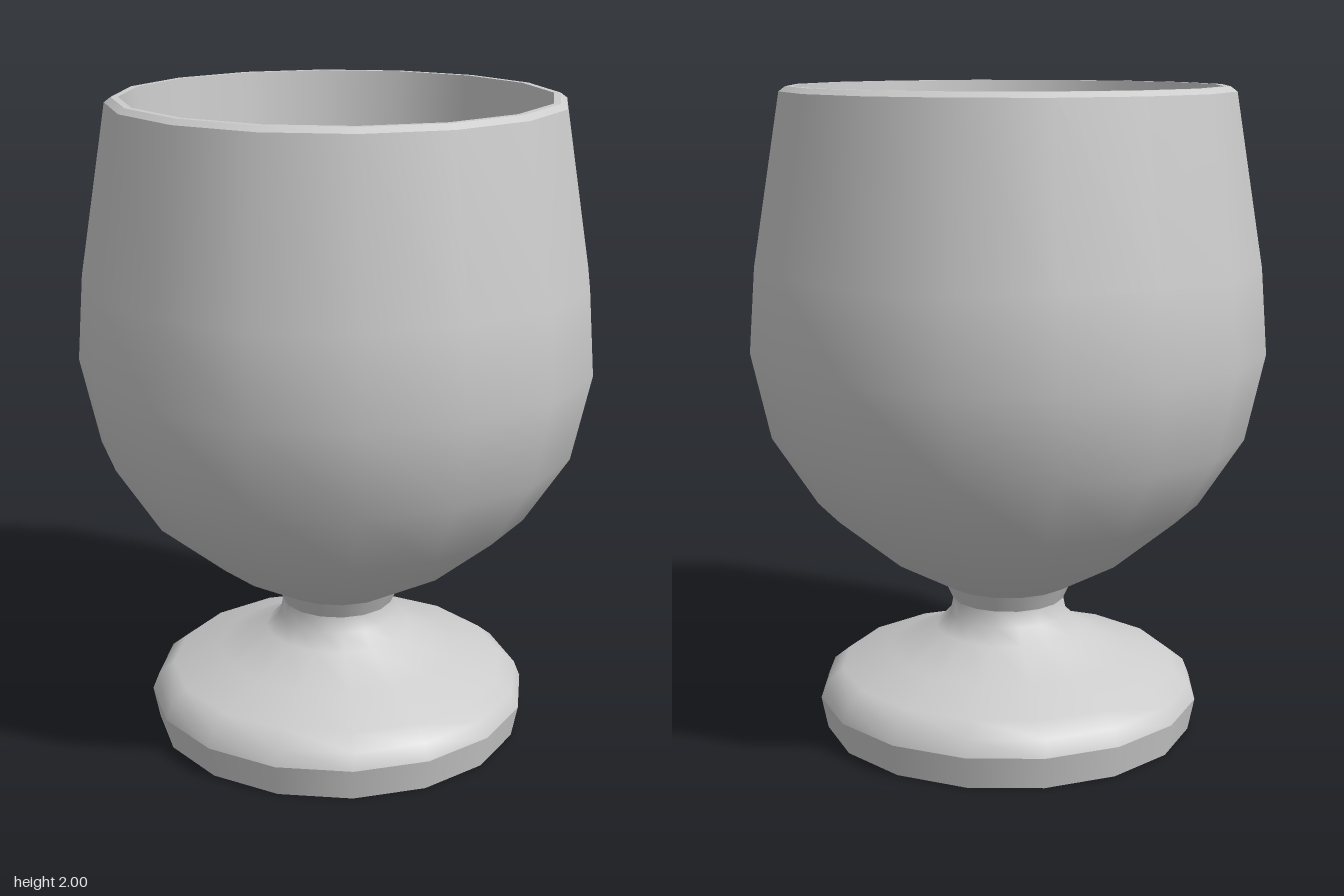
import * as THREE from 'three';

const SIDES = 16;

export function createModel() {
  const group = new THREE.Group();
  const grey = new THREE.MeshStandardMaterial({ color: 0xcccccc });
  grey.name = 'plain grey';

  // Each profile is its own smooth surface; edges between profiles stay sharp.
  const turn = (name, points) => {
    const profile = points.map(([r, y]) => new THREE.Vector2(r, y));
    const mesh = new THREE.Mesh(new THREE.LatheGeometry(profile, SIDES), grey);
    mesh.name = name;
    group.add(mesh);
  };

  // Foot
  turn('footUnderside', [[0, 0], [0.58, 0]]);
  turn('footEdge', [[0.58, 0], [0.6, 0.1]]);
  turn('footTop', [
    [0.6, 0.1], [0.58, 0.15], [0.53, 0.19], [0.38, 0.24],
    [0.23, 0.31], [0.186, 0.355], [0.176, 0.405],
  ]);

  // Narrow collar under the bowl
  turn('collar', [[0.176, 0.405], [0.2, 0.457]]);

  // Bowl
  turn('bowl', [
    [0.2, 0.457], [0.39, 0.563], [0.595, 0.733], [0.732, 0.945],
    [0.79, 1.21], [0.77, 1.47], [0.684, 1.985],
  ]);

  // Rim and inner wall
  turn('rimBevel', [[0.684, 1.985], [0.664, 2]]);
  turn('rimTop', [[0.664, 2], [0.643, 2]]);
  turn('innerWall', [[0.643, 2], [0.626, 1.73]]);

  // Flat surface of the drink
  turn('drinkSurface', [[0.626, 1.73], [0, 1.73]]);

  return group;
}
